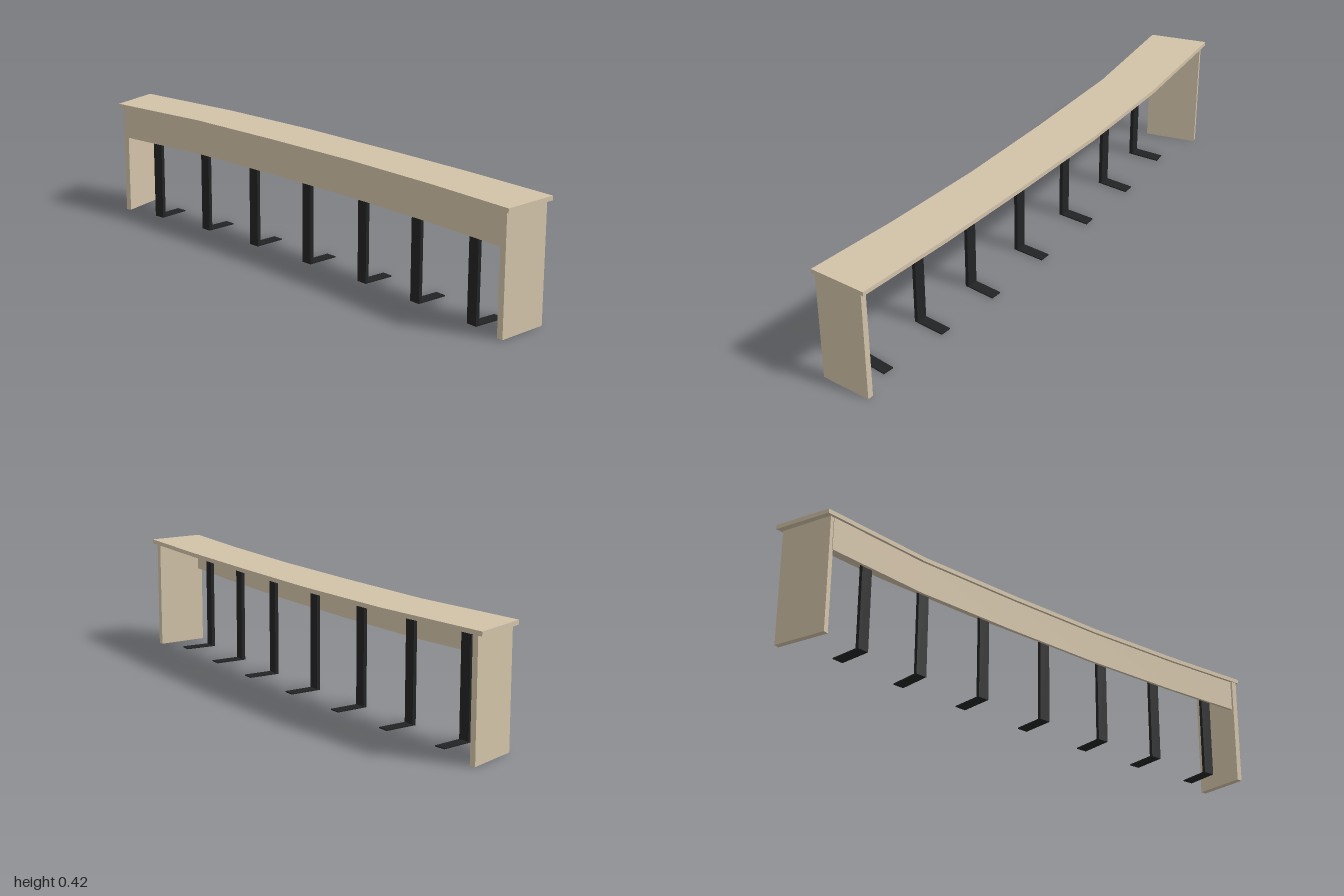
import * as THREE from 'three';

// Plan outline [x, z] of the curved top, both long edges from back to front
const panelEdge = [[-0.2575, -0.905], [-0.145, -0.5], [-0.072, -0.1], [-0.012, 0.28], [0.03, 0.66], [0.055, 0.998]];
const openEdge = [[-0.074, -1], [0.04, -0.57], [0.118, -0.17], [0.175, 0.23], [0.222, 0.6], [0.2575, 0.965]];

const TOP_Y = 0.402;
const wood = new THREE.MeshStandardMaterial({ color: 0xd2c2a8 });
const black = new THREE.MeshStandardMaterial({ color: 0x222324 });

const mix = (a, b, t) => [a[0] + (b[0] - a[0]) * t, a[1] + (b[1] - a[1]) * t];

// Upright prism from a plan outline
function slab(name, plan, y0, y1) {
  const shape = new THREE.Shape(plan.map(([x, z]) => new THREE.Vector2(x, -z)));
  const geo = new THREE.ExtrudeGeometry(shape, { depth: y1 - y0, bevelEnabled: false });
  geo.rotateX(-Math.PI / 2).translate(0, y0, 0);
  const mesh = new THREE.Mesh(geo, wood);
  mesh.name = name;
  return mesh;
}

// Line parallel to the panel edge, shortened at both ends
function insetLine(t) {
  const line = panelEdge.map((p, i) => mix(p, openEdge[i], t));
  const n = line.length - 1;
  const first = mix(line[0], line[1], 0.08);
  const last = mix(line[n], line[n - 1], 0.08);
  return [first, ...line.slice(1, n), last];
}

// Board across one end: outer corners a and b, thickness vector d
function endPanel(name, a, b, d) {
  return slab(name, [a, b, [b[0] + d[0], b[1] + d[1]], [a[0] + d[0], a[1] + d[1]]], 0, TOP_Y);
}

// Flat upright with a thin foot reaching under the top
function bracket(z) {
  const i = Math.max(0, panelEdge.findIndex((p) => p[1] > z) - 1);
  const [a, b] = [panelEdge[i], panelEdge[i + 1]];
  const x = a[0] + (b[0] - a[0]) * (z - a[1]) / (b[1] - a[1]);
  const g = new THREE.Group();
  g.name = 'leg';
  const post = new THREE.Mesh(new THREE.BoxGeometry(0.013, TOP_Y, 0.041), black);
  post.name = 'legPost';
  post.position.set(0.0255, TOP_Y / 2, 0);
  const foot = new THREE.Mesh(new THREE.BoxGeometry(0.105, 0.004, 0.041), black);
  foot.name = 'legFoot';
  foot.position.set(0.0845, 0.002, 0);
  g.add(post, foot);
  g.position.set(x, 0, z);
  g.rotation.y = Math.atan2(b[0] - a[0], b[1] - a[1]);
  return g;
}

export function createModel() {
  const model = new THREE.Group();
  model.name = 'curvedCounter';

  model.add(slab('counterTop', [...panelEdge, ...[...openEdge].reverse()], TOP_Y, 0.417));
  model.add(slab('modestyPanel', [...insetLine(0.045), ...insetLine(0.095).reverse()], 0.288, TOP_Y));
  model.add(endPanel('frontEndPanel', [0.058, 0.988], [0.24, 0.96], [-0.0034, -0.0217]));
  model.add(endPanel('backEndPanel', [-0.245, -0.891], [-0.075, -0.976], [0.0085, 0.017]));

  for (const z of [0.837, 0.577, 0.322, 0.051, -0.222, -0.484, -0.7245]) model.add(bracket(z));
  return model;
}
